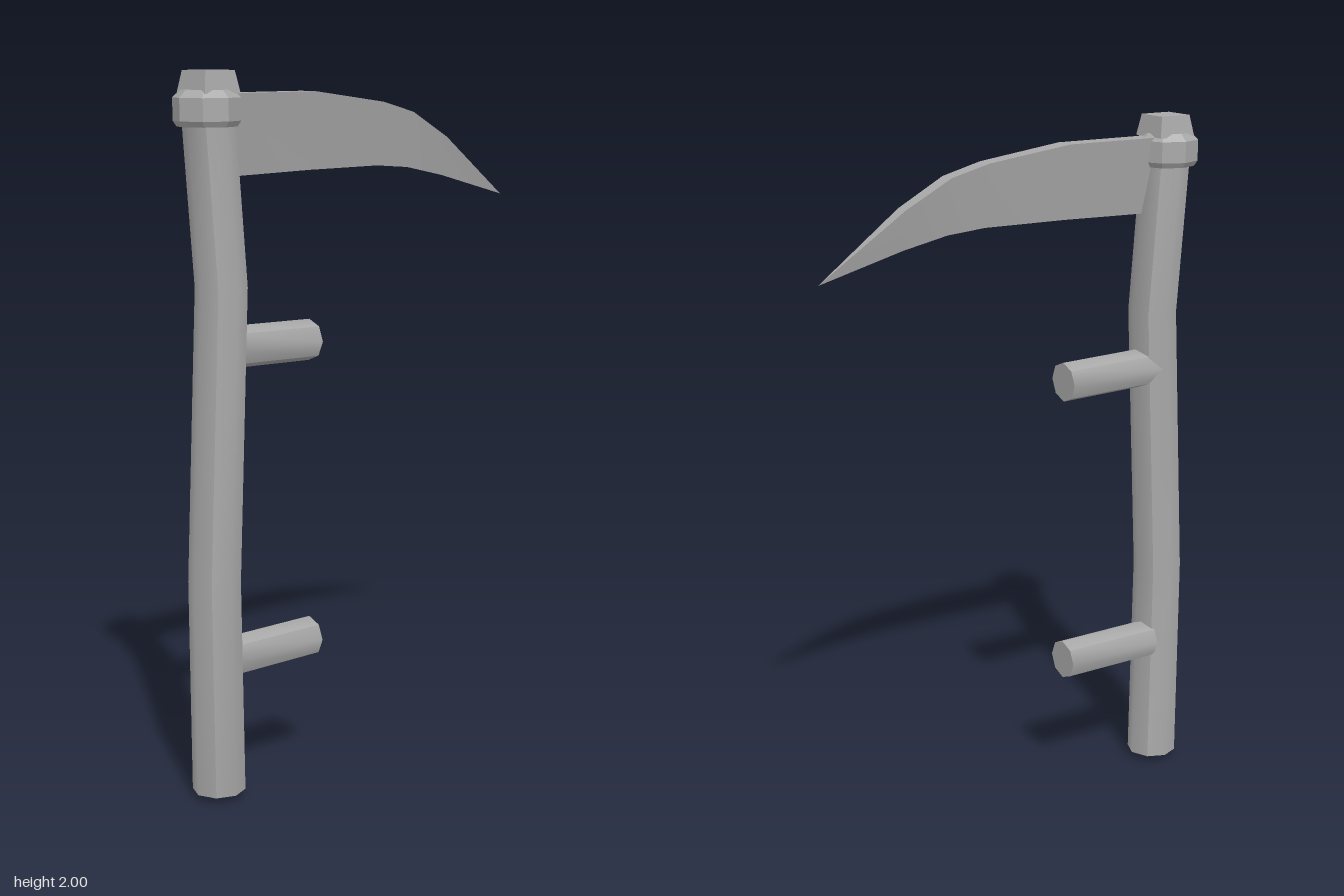
import * as THREE from 'three';
import { mergeGeometries } from 'three/addons/utils/BufferGeometryUtils.js';

const metal = new THREE.MeshStandardMaterial({ color: 0xa8a8a8 });
metal.name = 'grey';

// Surface through rows of points; smooth inside, hard along its border.
function panel(rows, flat = false) {
  const pos = [], index = [], n = rows[0].length;
  rows.forEach(row => row.forEach(p => pos.push(...p)));
  for (let i = 0; i < rows.length - 1; i++) {
    for (let j = 0; j < n - 1; j++) {
      const a = i * n + j, d = a + n;
      index.push(a, a + 1, d + 1, a, d + 1, d);
    }
  }
  let g = new THREE.BufferGeometry();
  g.setAttribute('position', new THREE.Float32BufferAttribute(pos, 3));
  g.setIndex(index);
  if (flat) g = g.toNonIndexed();
  g.computeVertexNormals();
  return flat ? g : g.toNonIndexed();
}

// Points of an octagonal ring [x, y, z, radius] between two eighth-turn steps.
function arc([x, y, z, r], from, to) {
  const pts = [];
  for (let k = from; k <= to; k++) {
    const a = k * Math.PI / 4;
    pts.push([x + r * Math.cos(a), y, z - r * Math.sin(a)]);
  }
  return pts;
}

// Octagonal rod: four softly bent panels with hard seams, closed at both ends.
function rod(rings, dome = 0) {
  const parts = [];
  for (let k = -1; k < 7; k += 2) parts.push(panel(rings.map(r => arc(r, k, k + 2))));
  const first = rings[0], last = rings[rings.length - 1];
  const start = [first[0], first[1] - dome, first[2], 0];
  const end = [last[0], last[1] + dome, last[2], 0];
  parts.push(panel([arc(start, 0, 8), arc(first, 0, 8)], true));
  parts.push(panel([arc(last, 0, 8), arc(end, 0, 8)], true));
  return mergeGeometries(parts);
}

function add(group, name, geometry) {
  const mesh = new THREE.Mesh(geometry, metal);
  mesh.name = name;
  group.add(mesh);
  return mesh;
}

export function createModel() {
  const group = new THREE.Group();
  group.name = 'scythe';

  // Gently curved shaft
  add(group, 'shaft', rod([
    [-0.517, 0.02, 0, 0.074],
    [-0.54, 0.63, 0.022, 0.072],
    [-0.488, 1.43, 0.004, 0.071],
    [-0.522, 1.9, 0, 0.071],
  ], 0.02));

  // Two stub grips pointing along the blade
  [['upperGrip', 1.265, -0.172, 0.03], ['lowerGrip', 0.397, -0.177, 0.012]].forEach(([name, y, tip, tilt]) => {
    const grip = add(group, name, rod([[0, 0, 0, 0.058], [0, tip + 0.49, 0, 0.058]]));
    grip.position.set(-0.49, y, 0);
    grip.rotation.z = -Math.PI / 2 - tilt;
  });

  // Faceted collar
  const collar = [[1.855, 0], [1.855, 0.08], [1.87, 0.09], [1.93, 0.09], [1.95, 0.068], [1.95, 0]];
  add(group, 'collar', panel(collar.map(([y, r]) => arc([-0.525, y, 0, r], 0, 8)), true));

  // Tapered square cap
  let cap = new THREE.CylinderGeometry(0.069, 0.084, 0.06, 4, 1, false, Math.PI / 4).toNonIndexed();
  cap.computeVertexNormals();
  add(group, 'cap', cap).position.set(-0.518, 1.97, 0);

  // Wedge blade: x, spine height, edge height, half thickness of the spine
  const stations = [
    [-0.5, 1.94, 1.72, 0.031],
    [-0.17, 1.94, 1.726, 0.03],
    [0.09, 1.906, 1.727, 0.027],
    [0.21, 1.875, 1.717, 0.025],
    [0.35, 1.8, 1.688, 0.022],
    [0.606, 1.62, 1.62, 0],
  ];
  add(group, 'blade', mergeGeometries([
    panel(stations.map(([x, t, b, w]) => [[x, t, w], [x, b, 0]])),
    panel(stations.map(([x, t, b, w]) => [[x, b, 0], [x, t, -w]])),
    panel(stations.map(([x, t, b, w]) => [[x, t, -w], [x, t, w]])),
  ]));

  return group;
}
